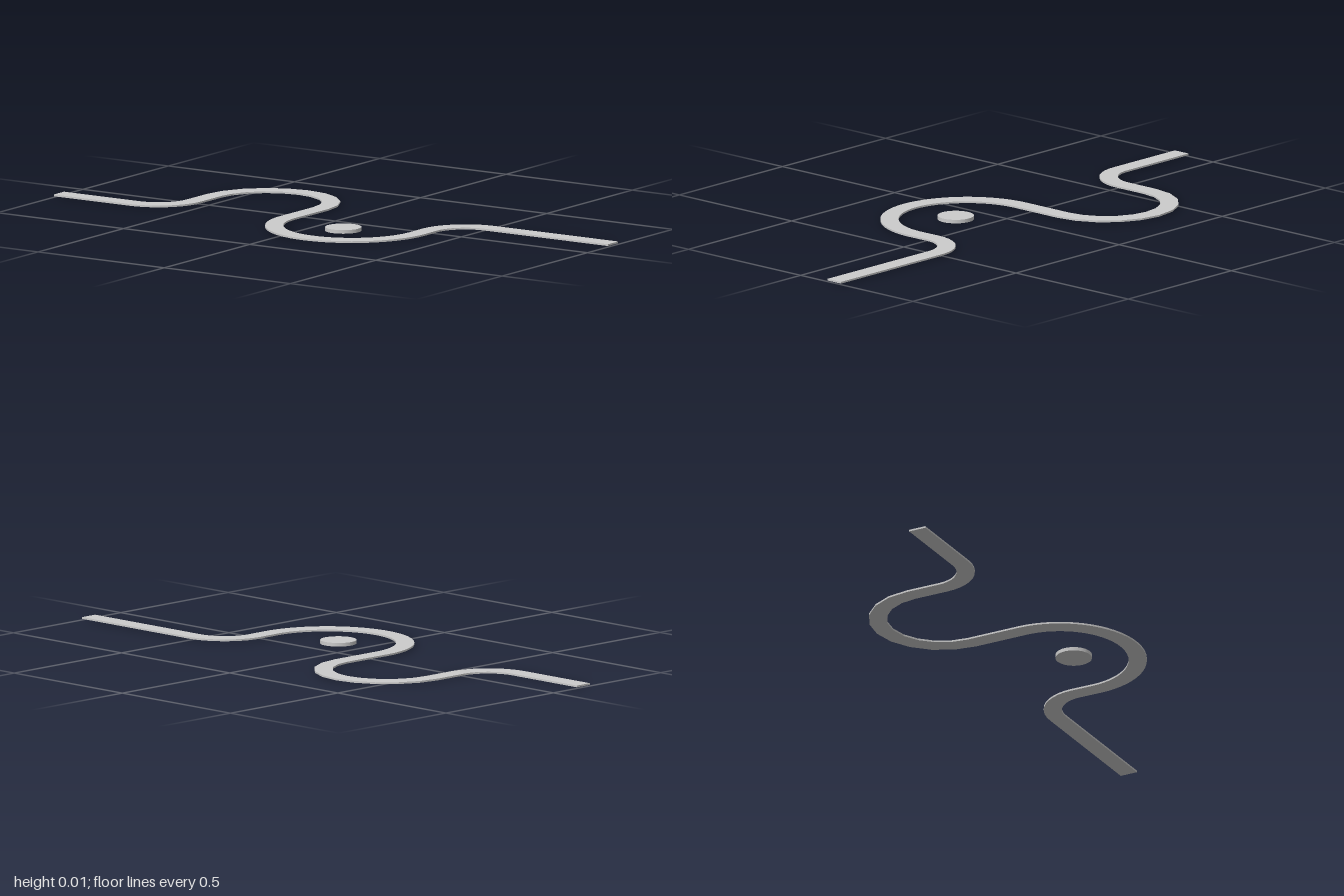
import * as THREE from 'three';

const HALF_WIDTH = 0.03;

// Bends along the ribbon: centre x, centre z, radius, start and end angle (degrees), segments
const BENDS = [
  [-0.7, 0, 0.14, 90, 0, 10],
  [-0.35, -0.12, 0.21, 180, 360, 10],
  [0.115, 0.07, 0.256, 180, 0, 32],
  [0.51, -0.01, 0.14, 180, 270, 10],
];

// One edge of the ribbon, shifted sideways from the centre line
function edge(offset) {
  const points = [new THREE.Vector2(-1, 0.14 + offset)];
  for (const [cx, cz, r, from, to, n] of BENDS) {
    const radius = r + (to < from ? offset : -offset);
    for (let i = 0; i <= n; i++) {
      const a = THREE.MathUtils.degToRad(from + ((to - from) * i) / n);
      points.push(new THREE.Vector2(cx + radius * Math.cos(a), cz + radius * Math.sin(a)));
    }
  }
  points.push(new THREE.Vector2(1, -0.15 + offset));
  return points;
}

export function createModel() {
  const group = new THREE.Group();
  const material = new THREE.MeshStandardMaterial({ color: 0xcccccc });

  // Thin winding ribbon, laid flat
  const outline = new THREE.Shape([...edge(HALF_WIDTH), ...edge(-HALF_WIDTH).reverse()]);
  const ribbonGeometry = new THREE.ExtrudeGeometry(outline, { depth: 0.006, bevelEnabled: false });
  ribbonGeometry.rotateX(Math.PI / 2);
  const ribbon = new THREE.Mesh(ribbonGeometry, material);
  ribbon.name = 'windingRibbon';
  ribbon.position.y = 0.0095;
  group.add(ribbon);

  // Round disc inside the front bend
  const disc = new THREE.Mesh(new THREE.CylinderGeometry(0.06, 0.06, 0.012, 32), material);
  disc.name = 'disc';
  disc.position.set(0.115, 0.006, 0.122);
  group.add(disc);

  return group;
}
